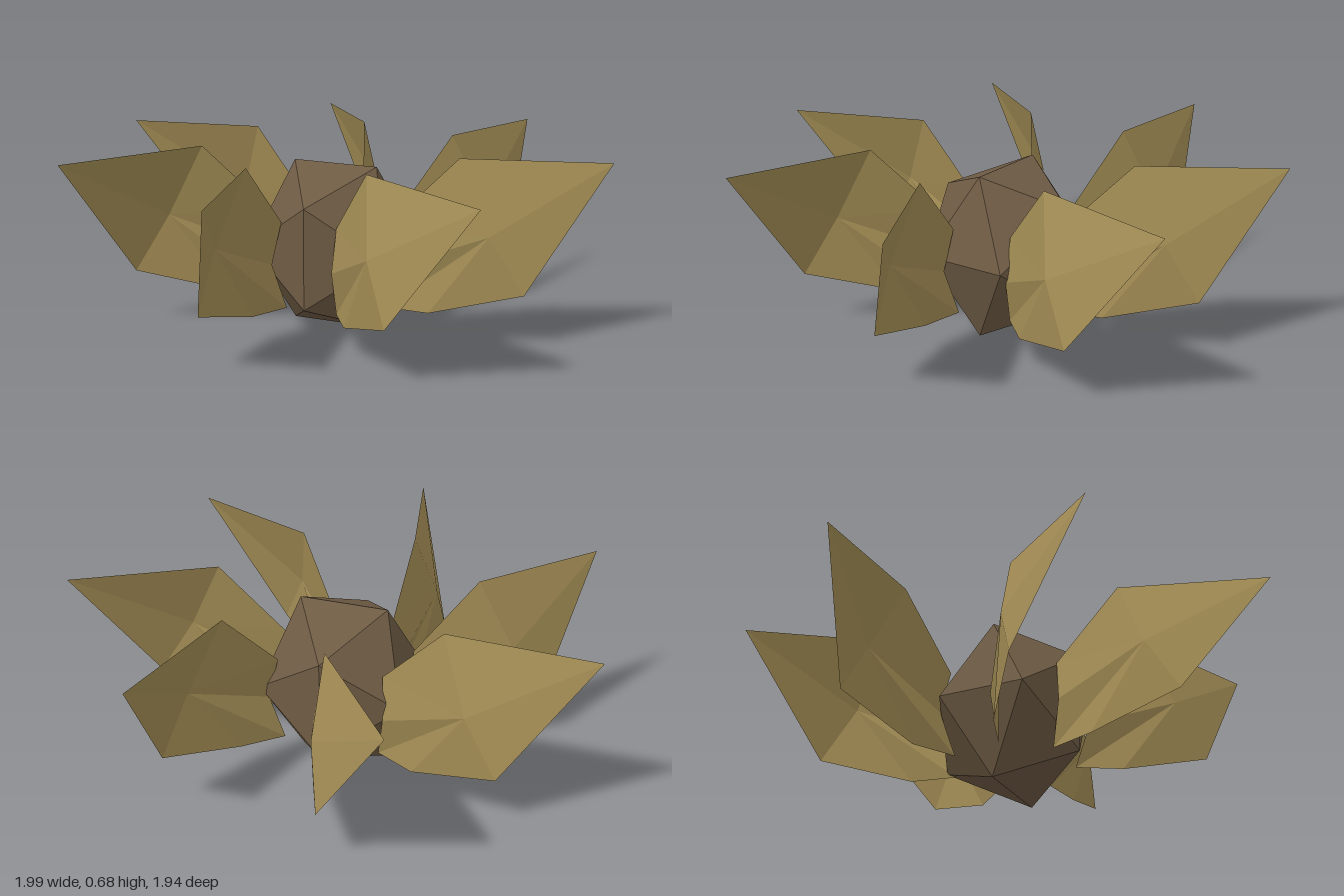
import * as THREE from 'three';

const CENTRE_Z = -0.05;
const BLADES = 7;

// One bent leaf blade, relative to the core's axis, pointing to +z
function bladeGeometry() {
  const rim = [
    [-0.10, 0.10, 0.21],   // root, lower
    [-0.155, 0.105, 0.38], // belly
    [-0.18, 0.20, 0.73],   // lower outer corner
    [0.01, 0.66, 1.02],    // tip
    [-0.12, 0.68, 0.48],   // upper corner
    [-0.11, 0.43, 0.23],   // root, upper
    [-0.14, 0.27, 0.25],   // root, middle
  ];
  const ridge = [-0.18, 0.41, 0.60];
  const pos = [];
  // Fan of facets around the raised ridge point
  rim.forEach((p, i) => pos.push(...ridge, ...rim[(i + 1) % rim.length], ...p));
  const g = new THREE.BufferGeometry();
  g.setAttribute('position', new THREE.Float32BufferAttribute(pos, 3));
  g.computeVertexNormals();
  return g;
}

export function createModel() {
  const coreMat = new THREE.MeshStandardMaterial({ color: 0x6e5b44, flatShading: true });
  coreMat.name = 'dark brown';
  const leafMat = new THREE.MeshStandardMaterial({
    color: 0xa38d55, flatShading: true, side: THREE.DoubleSide,
  });
  leafMat.name = 'dry olive';

  const model = new THREE.Group();
  model.name = 'driedSeedHead';

  // Faceted core, slightly taller than wide
  const core = new THREE.Mesh(new THREE.IcosahedronGeometry(0.318, 0), coreMat);
  core.name = 'core';
  core.scale.y = 1.14;
  core.position.set(0, 0.308, CENTRE_Z);
  model.add(core);

  // Ring of blades
  const blade = bladeGeometry();
  for (let i = 0; i < BLADES; i++) {
    const mesh = new THREE.Mesh(blade, leafMat);
    mesh.name = `blade${i + 1}`;
    mesh.position.z = CENTRE_Z;
    mesh.rotation.y = (i * Math.PI * 2) / BLADES;
    model.add(mesh);
  }
  return model;
}
